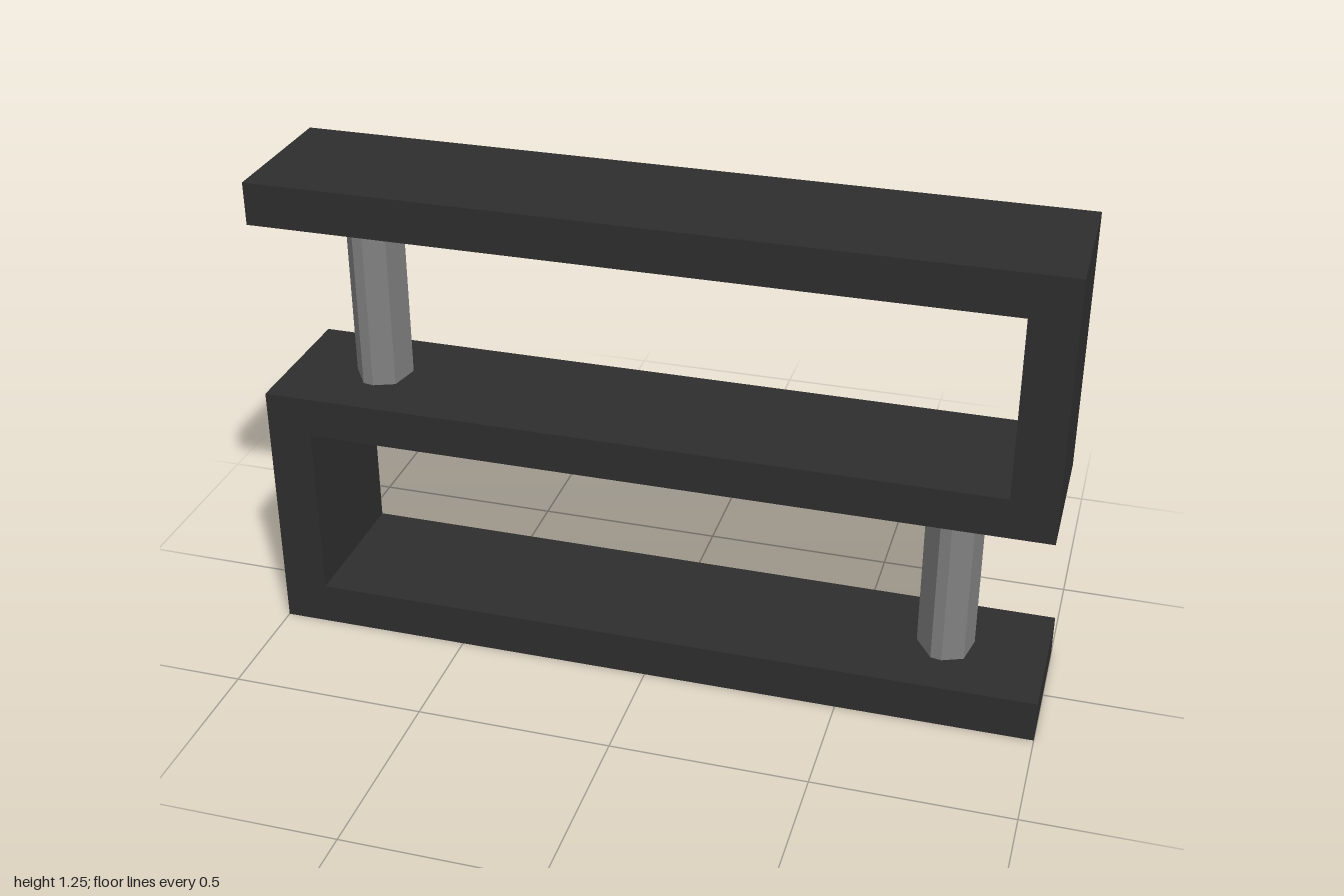
import * as THREE from 'three';

export function createModel() {
  const model = new THREE.Group();
  model.name = 'serpentineShelf';

  const charcoal = new THREE.MeshStandardMaterial({ color: 0x2e2e2e });
  charcoal.name = 'charcoal';
  const steel = new THREE.MeshStandardMaterial({ color: 0x808080 });
  steel.name = 'steel';

  const toShape = (points) => new THREE.Shape(points.map(([x, y]) => new THREE.Vector2(x, y)));

  // Continuous S-shaped frame: three boards joined by two end walls
  const depth = 0.385;
  const frameGeometry = new THREE.ExtrudeGeometry(toShape([
    [-1, 0], [1, 0], [1, 0.11], [-0.885, 0.11], [-0.885, 0.57], [1, 0.57],
    [1, 1.25], [-1, 1.25], [-1, 1.14], [0.885, 1.14], [0.885, 0.675], [-1, 0.675],
  ]), { depth, bevelEnabled: false });
  frameGeometry.translate(0, 0, -depth / 2);
  const frame = new THREE.Mesh(frameGeometry, charcoal);
  frame.name = 'frame';
  model.add(frame);

  // Faceted posts supporting the open end of each tier
  const radius = 0.075;
  const corners = [-45, -22.5, 45, 90, 112.5, 180, 225, 247.5]; // from +x towards +z
  const outline = corners.map((degrees) => {
    const angle = THREE.MathUtils.degToRad(degrees);
    return [radius * Math.cos(angle), -radius * Math.sin(angle)];
  });

  function addPost(name, x, bottom, top) {
    const geometry = new THREE.ExtrudeGeometry(toShape(outline), { depth: top - bottom, bevelEnabled: false });
    geometry.rotateX(-Math.PI / 2);
    const post = new THREE.Mesh(geometry, steel);
    post.name = name;
    post.position.set(x, bottom, 0);
    model.add(post);
  }
  addPost('lowerPost', 0.745, 0.11, 0.57);
  addPost('upperPost', -0.755, 0.675, 1.14);

  return model;
}
